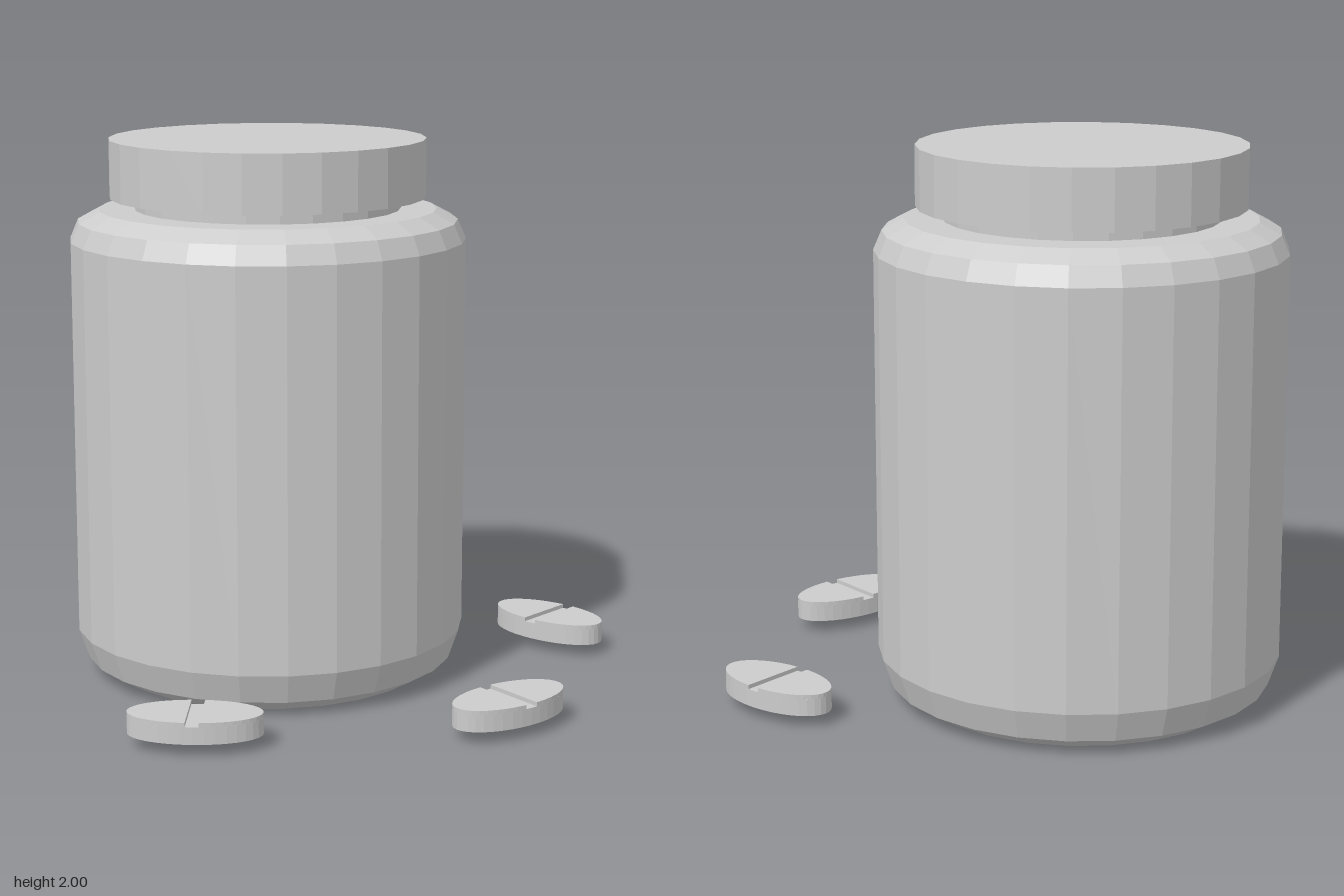
import * as THREE from 'three';

const SIDES = 26;

export function createModel() {
  const model = new THREE.Group();
  model.name = 'pillBottleWithTablets';
  const grey = new THREE.MeshStandardMaterial({ color: 0xcccccc });
  grey.name = 'grey';
  grey.flatShading = true;

  const add = (parent, name, geometry) => {
    const mesh = new THREE.Mesh(geometry, grey);
    mesh.name = name;
    parent.add(mesh);
    return mesh;
  };
  const lathe = (profile) =>
    new THREE.LatheGeometry(profile.map(([r, y]) => new THREE.Vector2(r, y)), SIDES);

  // Bottle: recessed underside, chamfered foot, straight wall, shoulder and neck
  const bottle = new THREE.Group();
  bottle.name = 'bottle';
  bottle.position.set(-0.267, 0, -0.198);
  model.add(bottle);
  add(bottle, 'bottleBody', lathe([
    [0, 0.06], [0.31, 0.06], [0.5, 0.012], [0.53, 0], [0.6, 0], [0.695, 0.055], [0.733, 0.165],
    [0.733, 1.63], [0.703, 1.7], [0.625, 1.742], [0.492, 1.742], [0.492, 1.8],
  ]));

  // Screw cap, closed on both ends
  add(bottle, 'cap', lathe([[0, 1.785], [0.585, 1.785], [0.585, 2], [0, 2]]));

  // Tablets: oval base plus two raised halves that leave a score groove
  const A = 0.237, B = 0.123, GROOVE = 0.024;
  const slab = (points, y0, y1) =>
    new THREE.ExtrudeGeometry(new THREE.Shape(points), { depth: y1 - y0, bevelEnabled: false })
      .rotateX(-Math.PI / 2)
      .translate(0, y0, 0);
  const arc = (from, to, n) =>
    Array.from({ length: n }, (_, i) => {
      const t = from + ((to - from) * i) / (n - 1);
      return new THREE.Vector2(A * Math.cos(t), B * Math.sin(t));
    });
  const edge = Math.acos(GROOVE / A);
  const base = slab(arc(0, Math.PI * 2, 37).slice(0, -1), 0.044, 0.107);
  const half = slab(arc(-edge, edge, 18), 0.107, 0.122);

  [[-0.375, 0.8, 5], [0.685, 0.485, 45], [0.787, -0.543, -35]].forEach(([x, z, degrees], i) => {
    const tablet = new THREE.Group();
    tablet.name = `tablet${i + 1}`;
    tablet.position.set(x, 0, z);
    tablet.rotation.y = THREE.MathUtils.degToRad(degrees);
    add(tablet, 'tabletBase', base);
    add(tablet, 'tabletHalfA', half);
    add(tablet, 'tabletHalfB', half).rotation.y = Math.PI;
    model.add(tablet);
  });

  return model;
}
